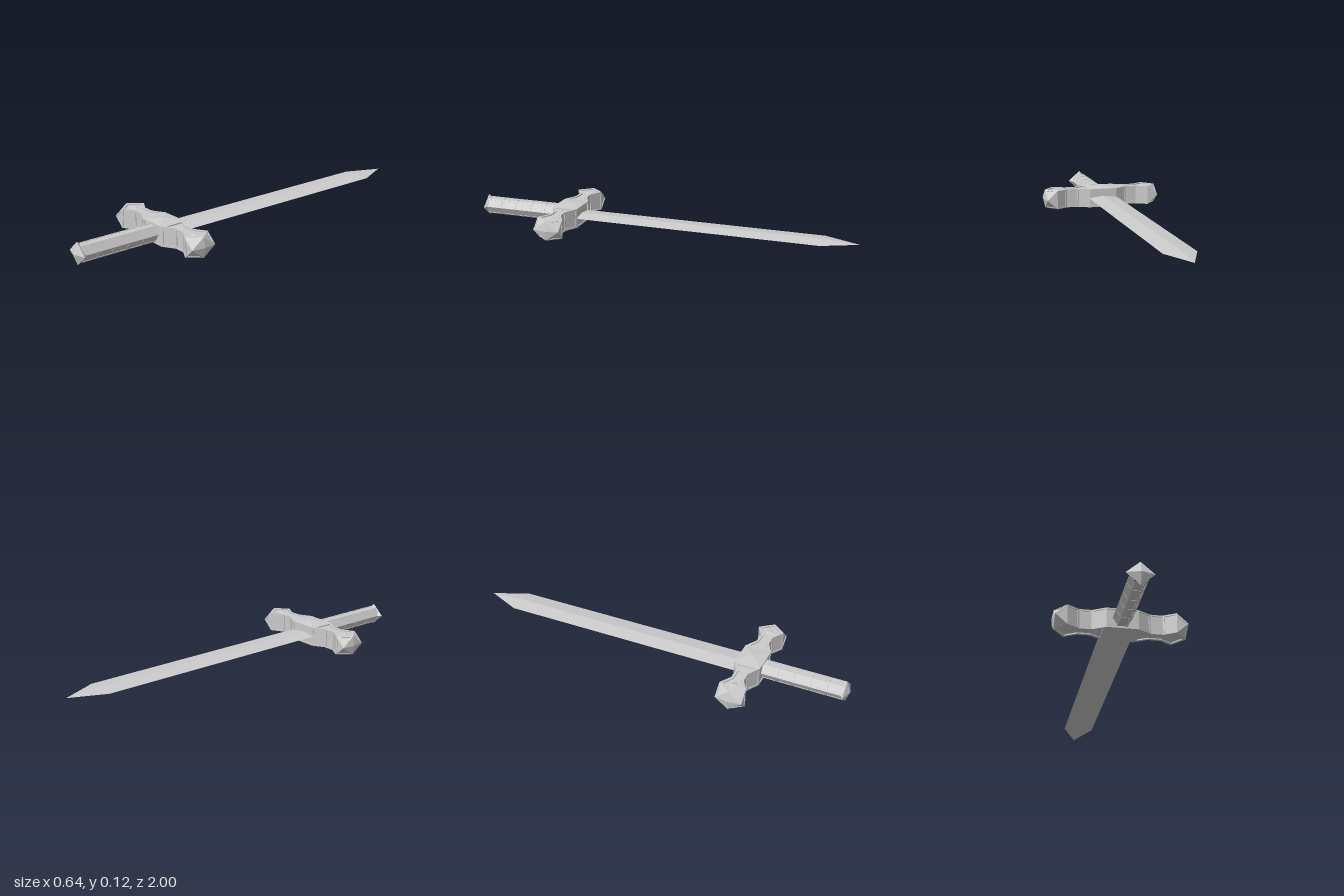
import * as THREE from 'three';

const V = (x, y, z) => new THREE.Vector3(x, y, z);
const MID = 0.06;      // height of the sword's axis
const GUARD_Z = 0.503; // centre of the crossguard along the sword

// Triangle soup of flat polygons, each given counter-clockwise from outside
function soupMesh(name, tris) {
  const geometry = new THREE.BufferGeometry().setFromPoints(tris);
  geometry.computeVertexNormals();
  const mesh = new THREE.Mesh(geometry,
    new THREE.MeshStandardMaterial({ color: 0xcccccc, flatShading: true }));
  mesh.name = name;
  return mesh;
}

function fan(tris, pts) {
  const c = V(0, 0, 0);
  pts.forEach(p => c.addScaledVector(p, 1 / pts.length));
  pts.forEach((p, i) => tris.push(c, p, pts[(i + 1) % pts.length]));
}

// A face with a mitred border and a sunken panel
function panel(tris, pts, inset, depth) {
  const n = pts.length;
  const normal = V(0, 0, 0);
  pts.forEach((p, i) => normal.add(p.clone().cross(pts[(i + 1) % n])));
  normal.normalize();
  const inward = pts.map((p, i) =>
    normal.clone().cross(pts[(i + 1) % n].clone().sub(p)).normalize());
  const rim = pts.map((p, i) => {
    const a = inward[(i + n - 1) % n], b = inward[i];
    return p.clone().addScaledVector(a.clone().add(b), inset / (1 + a.dot(b)));
  });
  const floor = rim.map(p => p.clone().addScaledVector(normal, -depth));
  for (const [a, b] of [[pts, rim], [rim, floor]]) {
    for (let i = 0; i < n; i++) {
      const j = (i + 1) % n;
      tris.push(a[i], a[j], b[j], a[i], b[j], b[i]);
    }
  }
  fan(tris, floor);
}

// Mirrors a polygon and keeps it facing outward
function mirrored(pts, sx, sy, sz) {
  const out = pts.map(p => V(p.x * sx, p.y * sy, p.z * sz));
  return sx * sy * sz < 0 ? out.reverse() : out;
}

function createBlade() {
  const tris = [];
  const w = 0.079, h = 0.01, back = 0.45, shoulder = -0.82;
  const tip = V(0, 0, -1);
  for (const sx of [1, -1]) {
    for (const sy of [1, -1]) {
      fan(tris, mirrored([V(0, h, back), V(w, 0, back), V(w, 0, shoulder), V(0, h, shoulder)], sx, sy, 1));
      fan(tris, mirrored([V(0, h, shoulder), V(w, 0, shoulder), tip], sx, sy, 1));
    }
  }
  const mesh = soupMesh('blade', tris);
  mesh.position.y = MID;
  return mesh;
}

function createGuard() {
  const group = new THREE.Group();
  group.name = 'crossguard';
  group.position.set(0, MID, GUARD_Z);
  const h = 0.05, wide = 0.067, neck = 0.032;
  // outline of one arm seen from above: [x, half depth]
  const arm = [[0.075, wide], [0.138, neck], [0.195, neck], [0.255, wide]];
  const tris = [], ends = [], boss = [];

  for (const sx of [1, -1]) {
    for (const sz of [1, -1]) {
      // panelled side facets along the arm
      for (let i = 0; i < 3; i++) {
        const [x0, z0] = arm[i], [x1, z1] = arm[i + 1];
        panel(tris, mirrored([V(x0, -h, z0), V(x1, -h, z1), V(x1, h, z1), V(x0, h, z0)], sx, 1, sz), 0.008, 0.004);
      }
      // triangular facet on the knob
      panel(tris, mirrored([V(0.255, -h, wide), V(0.31, 0, wide), V(0.255, h, wide)], sx, 1, sz), 0.007, 0.003);
      for (const sy of [1, -1]) {
        // cut corners and the low pyramid closing the end
        panel(tris, mirrored([V(0.255, h, wide), V(0.31, 0, wide), V(0.31, h, 0)], sx, sy, sz), 0.007, 0.003);
        fan(ends, mirrored([V(0.31, h, 0), V(0.31, 0, wide), V(0.32, 0, 0)], sx, sy, sz));
      }
    }
    // upper and lower arm faces
    const outline = [...arm.map(([x, z]) => V(x, h, z)), V(0.31, h, 0),
      ...arm.slice().reverse().map(([x, z]) => V(x, h, -z))];
    for (const sy of [1, -1]) {
      panel(tris, mirrored(outline, sx, sy, 1), 0.012, 0.006);
      // small studs in the sunken panel
      for (const [x, r, sides] of [[0.24, 0.028, 4], [0.115, 0.01, 3]]) {
        const stud = new THREE.Mesh(new THREE.ConeGeometry(r, 0.006, sides),
          new THREE.MeshStandardMaterial({ color: 0xcccccc, flatShading: true }));
        stud.name = 'stud';
        stud.position.set(sx * x, sy * (h - 0.003), 0);
        stud.rotation.set(sy < 0 ? Math.PI : 0, 0, 0);
        group.add(stud);
      }
    }
  }

  // central block with shallow pyramids above and below
  const c = 0.075;
  for (const s of [1, -1]) {
    panel(boss, mirrored([V(-c, -h, wide), V(c, -h, wide), V(c, h, wide), V(-c, h, wide)], 1, 1, s), 0.008, 0.004);
    const top = [V(-c, h, wide), V(c, h, wide), V(c, h, -wide), V(-c, h, -wide)];
    top.forEach((p, i) => fan(boss, mirrored([p, top[(i + 1) % 4], V(0, 0.059, 0)], 1, s, 1)));
  }
  group.add(soupMesh('guardArms', tris), soupMesh('guardEnds', ends), soupMesh('guardBoss', boss));
  return group;
}

function createGrip() {
  const tris = [];
  const r = 0.046, z0 = 0.56, z1 = 0.975, rows = 5;
  const corner = (i, z) => V(r * Math.cos(i * Math.PI / 3), r * Math.sin(i * Math.PI / 3), z);
  // hexagonal handle with a row of panels on each side
  for (let i = 0; i < 6; i++) {
    for (let k = 0; k < rows; k++) {
      const a = z0 + (z1 - z0) * k / rows, b = z0 + (z1 - z0) * (k + 1) / rows;
      panel(tris, [corner(i, b), corner(i, a), corner(i + 1, a), corner(i + 1, b)].reverse()
        .reverse(), 0.006, 0.002);
    }
  }
  const mesh = soupMesh('grip', tris);
  mesh.position.y = MID;
  return mesh;
}

function createPommel() {
  const tris = [];
  // diamond-shaped cap: [z, half width, half height]
  const rings = [[0.965, 0.046, 0.042], [0.98, 0.065, 0.057], [1, 0, 0]];
  for (const sx of [1, -1]) {
    for (const sy of [1, -1]) {
      const [a, b, tip] = rings;
      fan(tris, mirrored([V(a[1], 0, a[0]), V(0, a[2], a[0]), V(0, b[2], b[0]), V(b[1], 0, b[0])], sx, sy, 1));
      fan(tris, mirrored([V(b[1], 0, b[0]), V(0, b[2], b[0]), V(0, 0, tip[0])], sx, sy, 1));
      fan(tris, mirrored([V(0, 0, a[0]), V(0, a[2], a[0]), V(a[1], 0, a[0])], sx, sy, 1));
    }
  }
  const mesh = soupMesh('pommel', tris);
  mesh.position.y = MID;
  return mesh;
}

export function createModel() {
  const model = new THREE.Group();
  model.name = 'sword';
  model.add(createBlade(), createGuard(), createGrip(), createPommel());
  return model;
}
